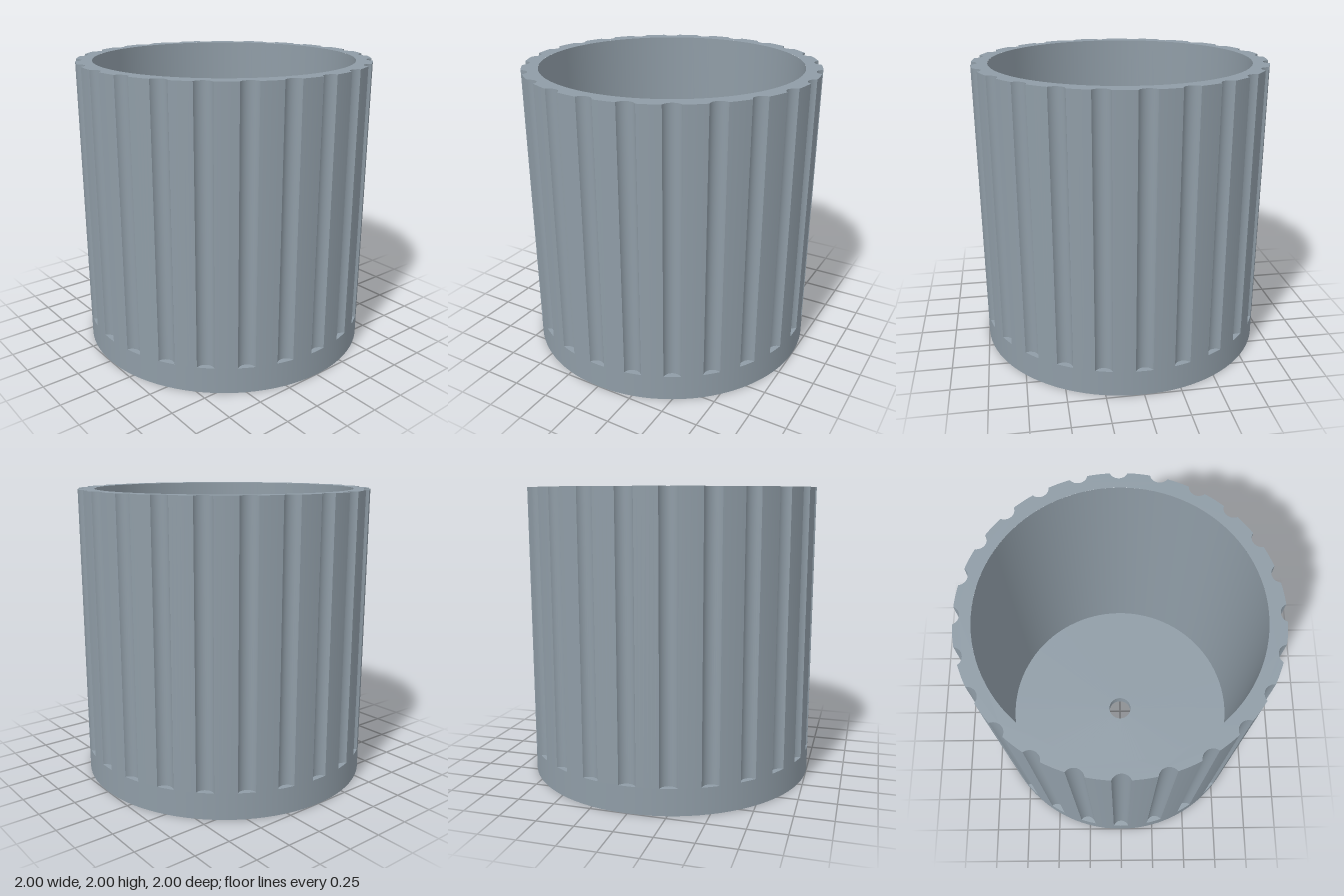
import * as THREE from 'three';
import { mergeGeometries } from 'three/addons/utils/BufferGeometryUtils.js';

const FLUTES = 24, HEIGHT = 2, LEDGE = 0.18, FLOOR = 0.09;
const INNER = 0.89, HOLE = 0.09;
const GROOVE_R = 0.062, GROOVE_C = 1.022; // groove circle radius and its distance from the axis

// Half angle of a groove on the unit rim, and half angle of its arc
const rimHalf = Math.acos((1 + GROOVE_C ** 2 - GROOVE_R ** 2) / (2 * GROOVE_C));
const arcHalf = Math.acos((GROOVE_C - Math.cos(rimHalf)) / GROOVE_R);
const step = (Math.PI * 2) / FLUTES;

// Arc samples with normals, in plan, running counterclockwise round the rim
function grooveArc(turn, n = 12) {
  const cx = GROOVE_C * Math.cos(turn), cy = GROOVE_C * Math.sin(turn);
  return Array.from({ length: n + 1 }, (_, i) => {
    const a = turn + Math.PI + arcHalf - (2 * arcHalf * i) / n;
    const c = Math.cos(a), s = Math.sin(a);
    return { p: new THREE.Vector2(cx + GROOVE_R * c, cy + GROOVE_R * s), n: [-c, -s] };
  });
}

function landArc(from, to, n = 6) {
  return Array.from({ length: n + 1 }, (_, i) => {
    const a = from + ((to - from) * i) / n;
    const c = Math.cos(a), s = Math.sin(a);
    return { p: new THREE.Vector2(c, s), n: [c, s] };
  });
}

// Vertical wall standing on a plan arc
function wall(arc) {
  const pos = [], nor = [], idx = [];
  arc.forEach(({ p, n }, i) => {
    pos.push(p.x, LEDGE, -p.y, p.x, HEIGHT, -p.y);
    nor.push(n[0], 0, -n[1], n[0], 0, -n[1]);
    if (i) {
      const a = 2 * i - 2;
      idx.push(a, a + 2, a + 3, a, a + 3, a + 1);
    }
  });
  const g = new THREE.BufferGeometry();
  g.setAttribute('position', new THREE.Float32BufferAttribute(pos, 3));
  g.setAttribute('normal', new THREE.Float32BufferAttribute(nor, 3));
  g.setIndex(idx);
  return g;
}

// Flat upward face from a plan shape
const flat = (shape, y) =>
  new THREE.ShapeGeometry(shape, 96).rotateX(-Math.PI / 2).translate(0, y, 0);

export function createModel() {
  const group = new THREE.Group();
  const grey = new THREE.MeshStandardMaterial({ color: 0x8f9ca6 });
  grey.name = 'blue grey';

  const add = (name, geometry) => {
    const mesh = new THREE.Mesh(geometry, grey);
    mesh.name = name;
    group.add(mesh);
  };
  // One straight profile segment turned round the axis, so edges stay sharp
  const turned = (name, r0, y0, r1, y1) =>
    add(name, new THREE.LatheGeometry([new THREE.Vector2(r0, y0), new THREE.Vector2(r1, y1)], 96));

  // Plain body surfaces
  turned('underside', HOLE, 0, 1, 0);
  turned('baseBand', 1, 0, 1, LEDGE);
  turned('innerWall', INNER, HEIGHT, INNER, FLOOR);
  turned('floor', INNER, FLOOR, HOLE, FLOOR);
  turned('drainHole', HOLE, FLOOR, HOLE, 0);

  // Fluted outer wall with a ledge at the foot of every groove
  const grooves = [], lands = [], ledges = [], outline = [];
  for (let i = 0; i < FLUTES; i++) {
    const turn = i * step;
    const groove = grooveArc(turn);
    const land = landArc(turn + rimHalf, turn + step - rimHalf);
    grooves.push(wall(groove));
    lands.push(wall(land));
    outline.push(...groove.slice(0, -1).map(s => s.p), ...land.slice(0, -1).map(s => s.p));

    const foot = landArc(turn - rimHalf, turn + rimHalf).map(s => s.p);
    const back = groove.slice(1, -1).reverse().map(s => s.p);
    ledges.push(flat(new THREE.Shape([...foot, ...back]), LEDGE));
  }
  add('grooves', mergeGeometries(grooves));
  add('outerWall', mergeGeometries(lands));
  add('grooveLedges', mergeGeometries(ledges));

  // Scalloped top rim
  const rim = new THREE.Shape(outline);
  rim.holes.push(new THREE.Path().absarc(0, 0, INNER, 0, Math.PI * 2, true));
  add('topRim', flat(rim, HEIGHT));

  return group;
}
